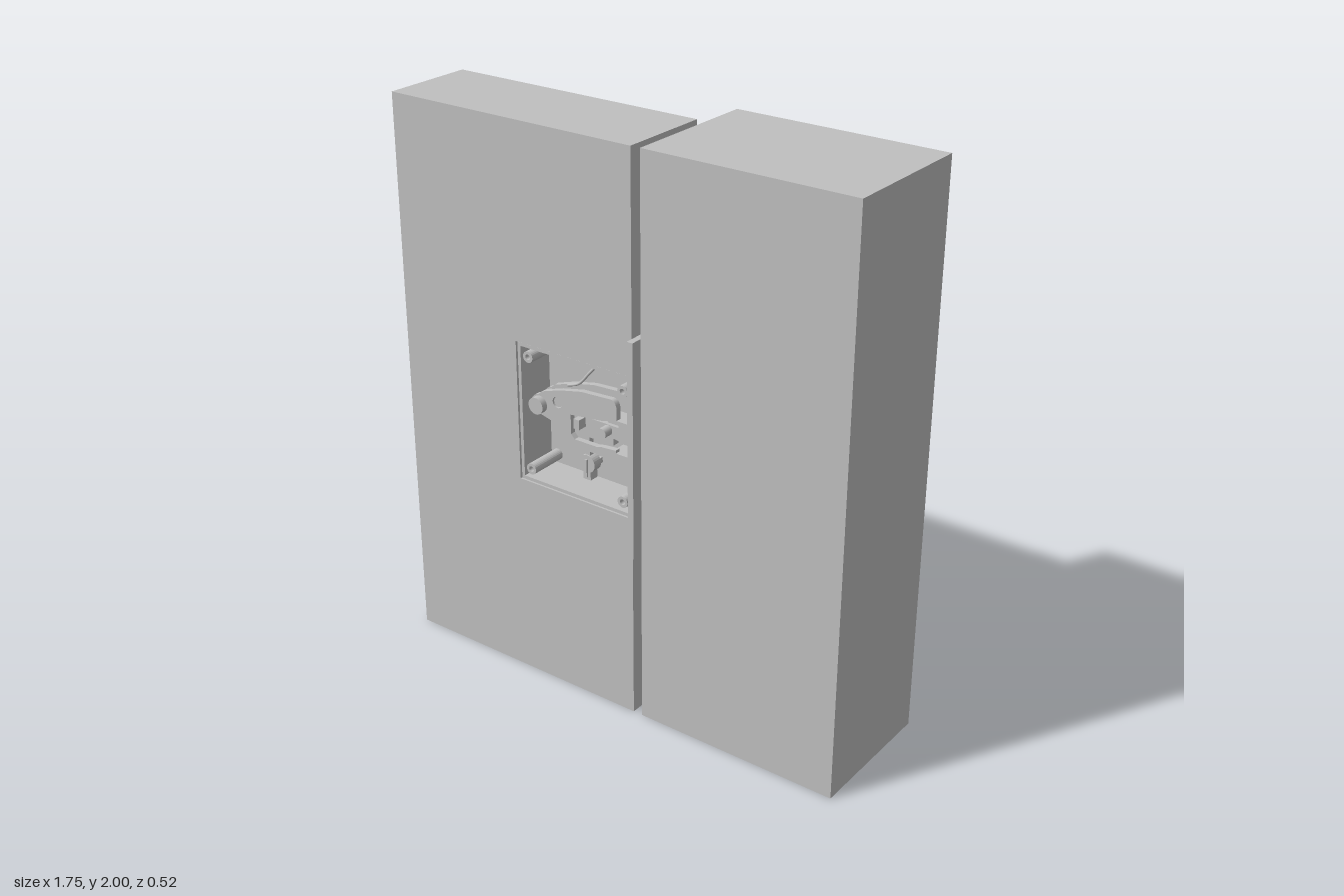
import * as THREE from 'three';

export function createModel() {
  const model = new THREE.Group();
  const grey = new THREE.MeshStandardMaterial({ color: 0xc0c0c0 });
  grey.name = 'light grey';

  const add = (name, geometry, parent = model) => {
    const mesh = new THREE.Mesh(geometry, grey);
    mesh.name = name;
    parent.add(mesh);
    return mesh;
  };
  // Box given by its limits
  const box = (name, x0, x1, y0, y1, z0, z1, parent) => {
    const mesh = add(name, new THREE.BoxGeometry(x1 - x0, y1 - y0, z1 - z0), parent);
    mesh.position.set((x0 + x1) / 2, (y0 + y1) / 2, (z0 + z1) / 2);
    return mesh;
  };
  const outline = (points) => new THREE.Shape(points.map(([x, y]) => new THREE.Vector2(x, y)));
  const circle = (x, y, r) => new THREE.Path().absarc(x, y, r, 0, Math.PI * 2, true);
  const slab = (name, shape, z0, z1, parent) => {
    const geometry = new THREE.ExtrudeGeometry(shape, { depth: z1 - z0, bevelEnabled: false, curveSegments: 12 });
    geometry.translate(0, 0, z0);
    return add(name, geometry, parent);
  };
  // Round pin along z
  const pin = (name, x, y, r, z0, z1, parent) => {
    const mesh = add(name, new THREE.CylinderGeometry(r, r, z1 - z0, 24), parent);
    mesh.rotation.x = Math.PI / 2;
    mesh.position.set(x, y, (z0 + z1) / 2);
    return mesh;
  };

  // Door leaf with a pocket open to the front and to its edge
  const floor = 0.08;
  box('doorBack', -0.875, 0.09, 0, 2, -0.1, floor);
  slab('doorFront', outline([
    [-0.875, 0], [0.09, 0], [0.09, 0.75], [-0.385, 0.75],
    [-0.385, 1.255], [0.09, 1.255], [0.09, 2], [-0.875, 2],
  ]), floor, 0.235);
  box('doorFrame', 0.125, 0.875, 0, 2, -0.265, 0.235);

  // Lock case: back plate, thin rim and hollow corner posts
  const lock = new THREE.Group();
  lock.name = 'lock';
  model.add(lock);
  box('casePlate', -0.38, 0.09, 0.752, 1.253, floor, 0.09, lock);
  slab('caseRim', outline([
    [-0.38, 0.753], [0.09, 0.753], [0.09, 0.765], [-0.368, 0.765],
    [-0.368, 1.241], [0.09, 1.241], [0.09, 1.253], [-0.38, 1.253],
  ]), 0.09, 0.232, lock);
  for (const [x, y] of [[-0.34, 0.797], [0.045, 0.797], [-0.34, 1.207], [0.048, 1.193]]) {
    const ring = new THREE.Shape().absarc(x, y, 0.02, 0, Math.PI * 2, false);
    ring.holes.push(circle(x, y, 0.01));
    slab('casePost', ring, 0.09, 0.23, lock);
  }

  // Forend on the door edge, with screw heads in the gap
  box('forend', 0.09, 0.112, 0.62, 1.385, 0.075, 0.26);
  for (const y of [0.668, 1.335]) {
    const screw = add('forendScrew', new THREE.CylinderGeometry(0.02, 0.028, 0.01, 20));
    screw.rotation.z = -Math.PI / 2;
    screw.position.set(0.117, y, 0.165);
  }
  box('boltNose', 0.09, 0.123, 0.95, 1.05, 0.125, 0.205);

  // Latch: two matching cheek plates swinging on the pivot
  const makeCheek = () => {
    const s = new THREE.Shape();
    s.moveTo(-0.22, 0.945);
    s.lineTo(-0.18, 0.92);
    s.lineTo(-0.06, 0.925);
    s.lineTo(0.0, 0.945);
    s.lineTo(0.0, 0.96);
    s.lineTo(-0.06, 0.955);
    s.lineTo(-0.08, 0.95);
    s.lineTo(-0.17, 0.95);
    s.lineTo(-0.185, 0.965);
    s.lineTo(-0.185, 1.035);
    s.lineTo(-0.06, 1.05);
    s.lineTo(0.005, 1.065);
    s.lineTo(0.005, 1.11);
    s.quadraticCurveTo(0, 1.137, -0.02, 1.137);
    s.lineTo(-0.14, 1.13);
    s.lineTo(-0.23, 1.11);
    s.lineTo(-0.305, 1.085);
    s.absarc(-0.315, 1.037, 0.035, 1.7, 4.3, false);
    s.lineTo(-0.25, 0.985);
    s.lineTo(-0.22, 0.945);
    s.holes.push(circle(-0.24, 1.063, 0.02));
    return s;
  };
  slab('frontCheek', makeCheek(), 0.185, 0.205, lock);
  slab('rearCheek', makeCheek(), 0.12, 0.14, lock);
  pin('pivot', -0.315, 1.037, 0.03, 0.09, 0.228, lock);
  pin('stopPin', -0.24, 1.063, 0.018, 0.09, 0.2, lock);

  // Bolt rails reaching the forend
  box('upperRail', -0.03, 0.09, 1.053, 1.068, 0.12, 0.205, lock);
  box('lowerRail', -0.02, 0.09, 0.937, 0.95, 0.12, 0.205, lock);
  slab('boltTongue', outline([
    [-0.18, 0.95], [-0.04, 0.95], [-0.04, 0.975], [0.09, 0.955], [0.09, 1.045],
    [-0.02, 1.035], [-0.02, 1.02], [-0.13, 1.02], [-0.13, 1.035], [-0.18, 1.035],
  ]), 0.14, 0.165, lock);
  box('boltCatch', -0.178, -0.155, 0.985, 1.02, 0.165, 0.2, lock);
  pin('boltPin', -0.063, 1.0, 0.018, 0.09, 0.2, lock);

  // Curved return spring
  const springPath = new THREE.CatmullRomCurve3([
    [-0.23, 1.112], [-0.185, 1.13], [-0.135, 1.185], [-0.1, 1.22], [-0.06, 1.235],
  ].map(([x, y]) => new THREE.Vector3(x, y, 0.16)));
  add('spring', new THREE.TubeGeometry(springPath, 24, 0.005, 8), lock);

  // Turning cam under the latch, on a spindle that passes out through the back
  const cam = new THREE.Shape();
  cam.moveTo(-0.168, 0.79);
  cam.lineTo(-0.138, 0.79);
  cam.lineTo(-0.138, 0.82);
  cam.absarc(-0.153, 0.848, 0.032, -1.08, Math.PI + 1.08, false);
  cam.lineTo(-0.168, 0.79);
  slab('cam', cam, 0.13, 0.165, lock);
  box('camSlot', -0.157, -0.149, 0.8, 0.865, 0.165, 0.172, lock);
  box('camLink', -0.162, -0.144, 0.87, 0.95, 0.14, 0.16, lock);
  box('spindle', -0.16, -0.146, 0.825, 0.845, -0.265, 0.16);

  return model;
}
